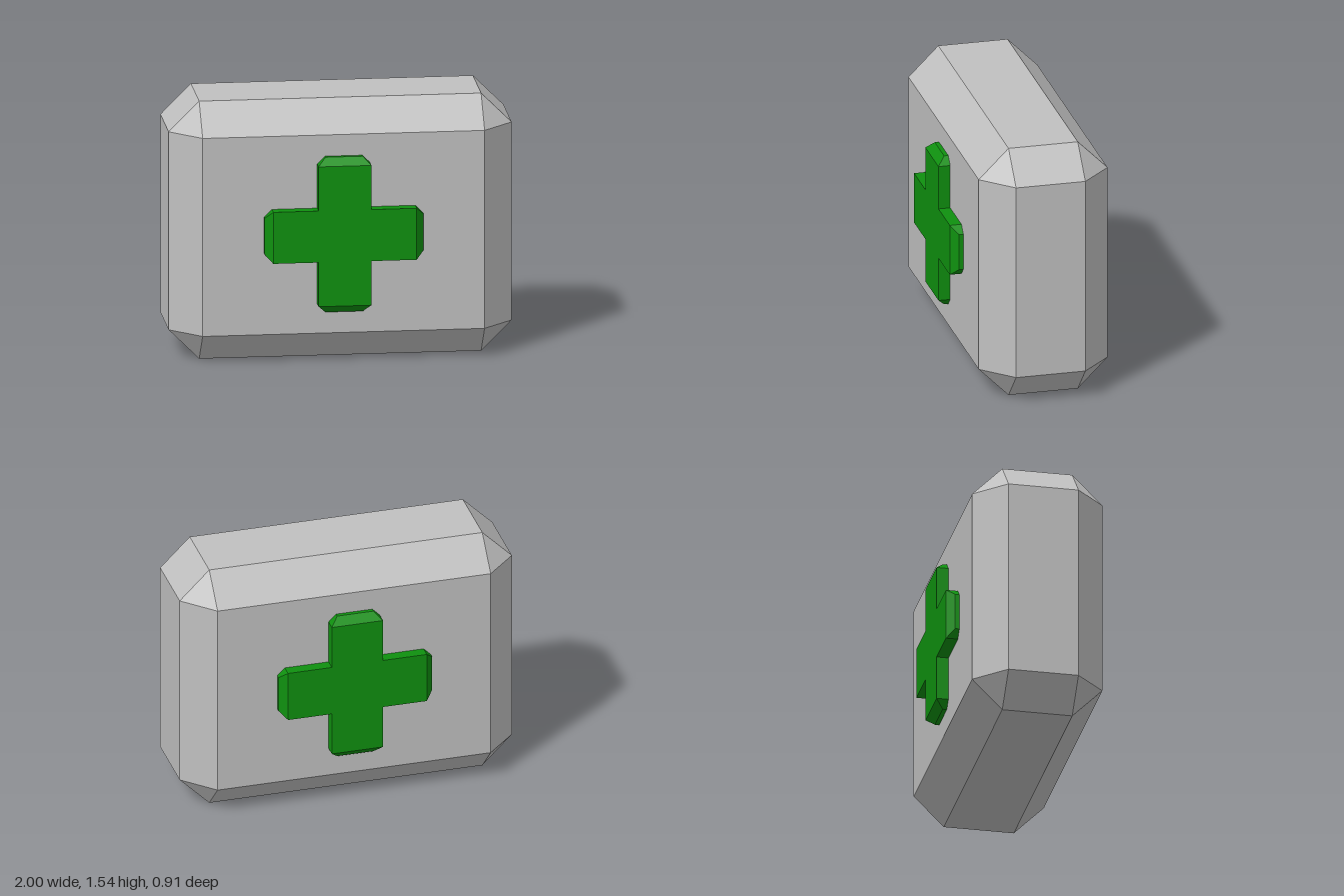
import * as THREE from 'three';
import { ConvexGeometry } from 'three/addons/geometries/ConvexGeometry.js';

const casing = new THREE.MeshStandardMaterial({ color: 0xc0c0c0 });
casing.name = 'casing grey';
const green = new THREE.MeshStandardMaterial({ color: 0x0f900f });
green.name = 'cross green';

// Box with every edge and corner cut by the same chamfer
function chamferedBox(w, h, d, c) {
  const points = [];
  for (const sx of [-1, 1]) for (const sy of [-1, 1]) for (const sz of [-1, 1]) {
    const x = w / 2, y = h / 2, z = d / 2;
    points.push(
      new THREE.Vector3(sx * x, sy * (y - c), sz * (z - c)),
      new THREE.Vector3(sx * (x - c), sy * y, sz * (z - c)),
      new THREE.Vector3(sx * (x - c), sy * (y - c), sz * z)
    );
  }
  return new ConvexGeometry(points);
}

// Upright arm from y = start to y = end whose tip tapers in on all four sides
function taperedArm(halfWidth, halfDepth, start, end, c) {
  const geo = new THREE.BoxGeometry(halfWidth * 2, 2, halfDepth * 2, 1, 2, 1);
  const pos = geo.attributes.position;
  for (let i = 0; i < pos.count; i++) {
    const level = Math.round(pos.getY(i)); // -1 root, 0 shoulder, 1 tip
    pos.setY(i, level < 0 ? start : level === 0 ? end - c : end);
    if (level > 0) {
      pos.setX(i, Math.sign(pos.getX(i)) * (halfWidth - c));
      pos.setZ(i, Math.sign(pos.getZ(i)) * (halfDepth - c));
    }
  }
  const flat = geo.toNonIndexed();
  flat.computeVertexNormals();
  return flat;
}

export function createModel() {
  const model = new THREE.Group();
  model.name = 'medicalCase';

  // Case
  const body = new THREE.Mesh(chamferedBox(2, 1.54, 0.77, 0.178), casing);
  body.name = 'caseBody';
  body.position.y = 0.77;
  model.add(body);

  // Cross running through the case, standing out at front and back
  const cross = new THREE.Group();
  cross.name = 'cross';
  cross.position.y = 0.772;
  const half = 0.154, depth = 0.455;
  const centre = new THREE.Mesh(new THREE.BoxGeometry(half * 2, half * 2, depth * 2), green);
  centre.name = 'crossCentre';
  cross.add(centre);
  const armGeometry = taperedArm(half, depth, half, 0.463, 0.045);
  ['topArm', 'leftArm', 'bottomArm', 'rightArm'].forEach((name, i) => {
    const arm = new THREE.Mesh(armGeometry, green);
    arm.name = name;
    arm.rotation.z = -i * Math.PI / 2;
    cross.add(arm);
  });
  model.add(cross);

  return model;
}
